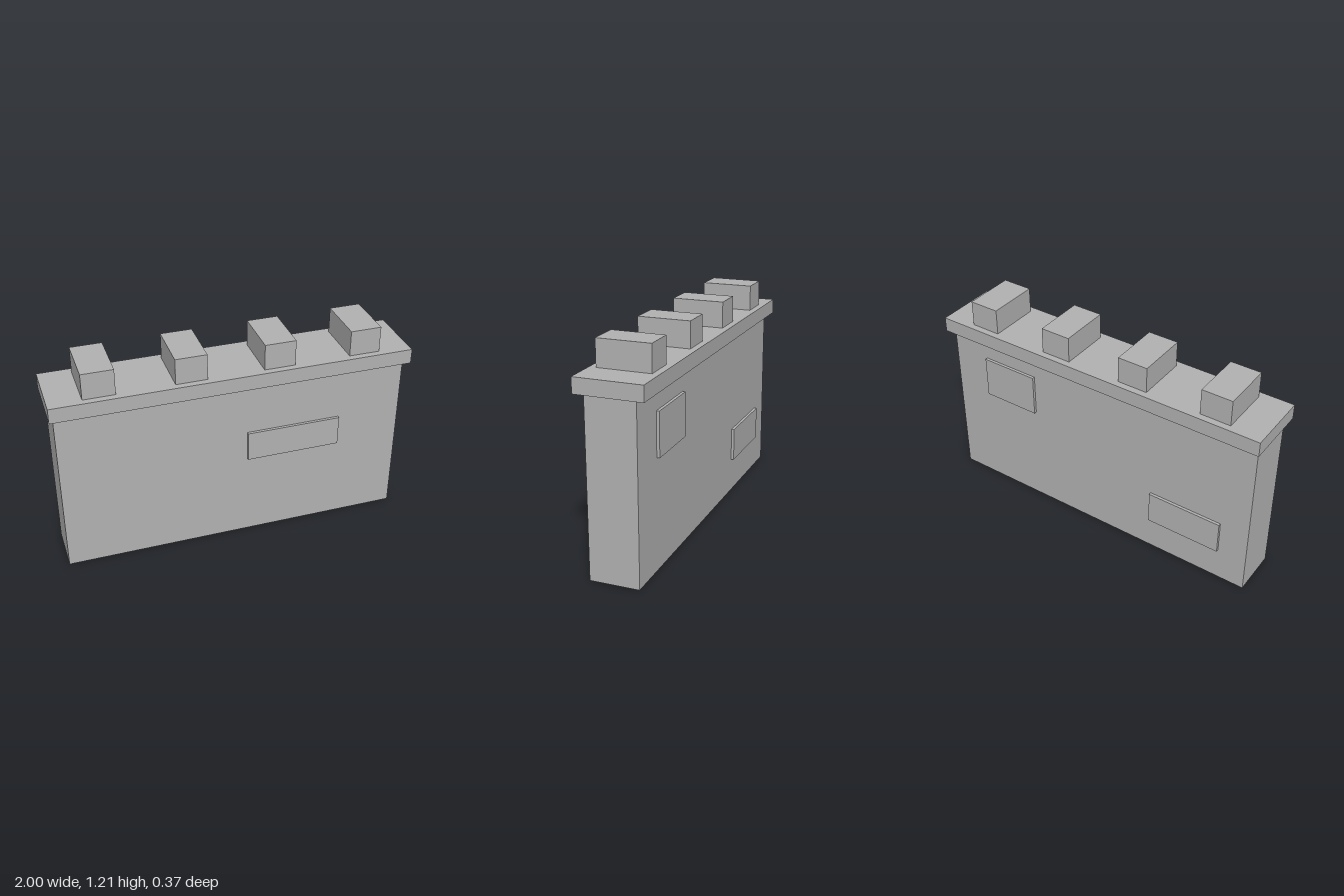
import * as THREE from 'three';

const stone = new THREE.MeshStandardMaterial({ color: 0xb2b2b2 });
stone.name = 'stone grey';

// Box given by its lower and upper limits on each axis
function block(name, [x0, x1], [y0, y1], [z0, z1]) {
  const mesh = new THREE.Mesh(new THREE.BoxGeometry(x1 - x0, y1 - y0, z1 - z0), stone);
  mesh.name = name;
  mesh.position.set((x0 + x1) / 2, (y0 + y1) / 2, (z0 + z1) / 2);
  return mesh;
}

export function createModel() {
  const wall = new THREE.Group();
  wall.name = 'battlementWall';

  // Wall body and overhanging coping slab
  wall.add(block('wallBody', [-0.976, 0.976], [0, 0.975], [-0.136, 0.136]));
  wall.add(block('copingSlab', [-1, 1], [0.975, 1.06], [-0.185, 0.185]));

  // Evenly spaced merlons along the top
  for (let i = 0; i < 4; i++) {
    const x = (i - 1.5) * 0.488;
    wall.add(block(`merlon${i + 1}`, [x - 0.087, x + 0.087], [1.06, 1.207], [-0.147, 0.147]));
  }

  // Raised stones: one on the front, two on the back
  wall.add(block('frontStone', [0.07, 0.607], [0.5, 0.673], [0.13, 0.152]));
  wall.add(block('backUpperStone', [0.41, 0.75], [0.612, 0.855], [-0.152, -0.13]));
  wall.add(block('backLowerStone', [-0.809, -0.371], [0.198, 0.391], [-0.152, -0.13]));

  return wall;
}
